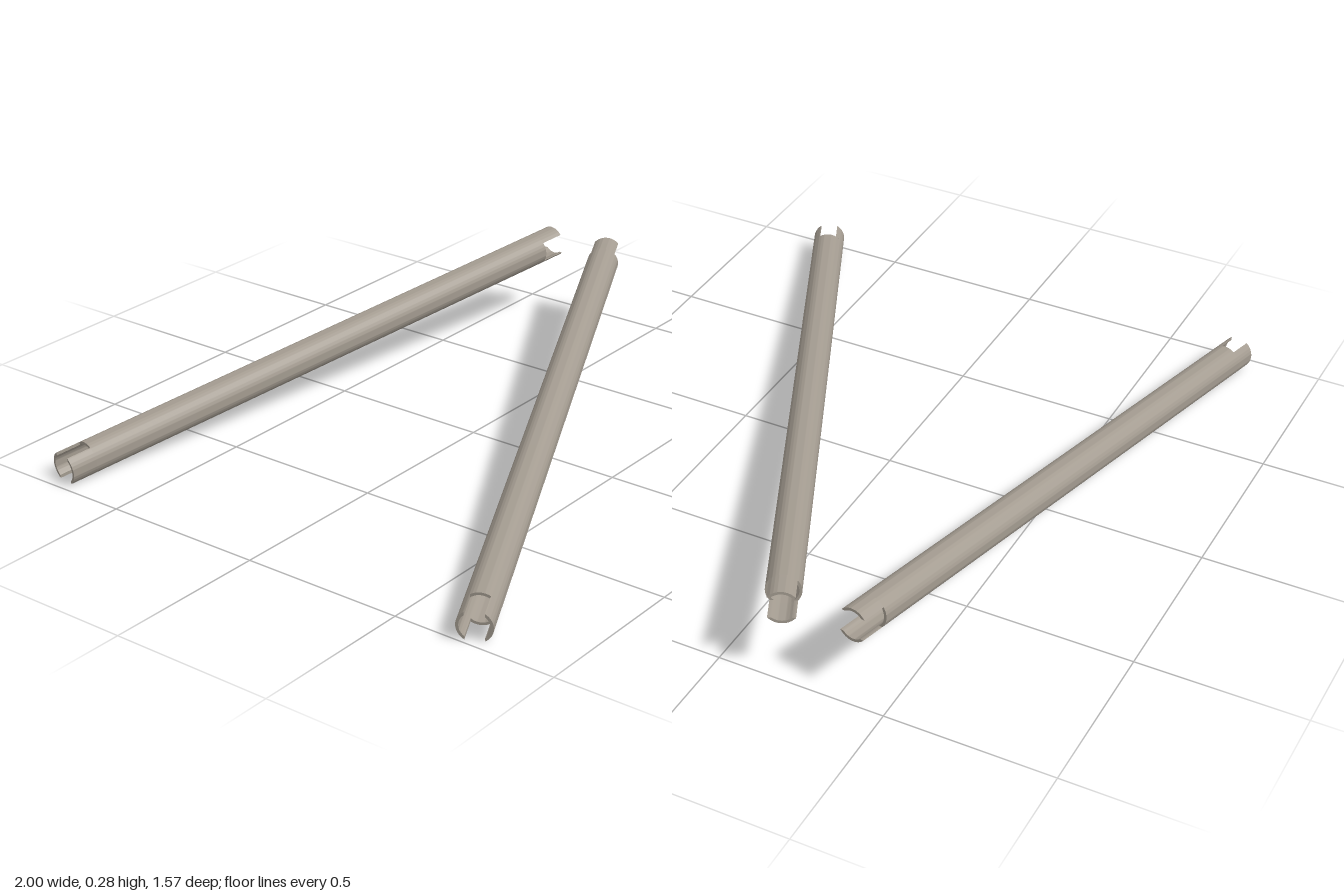
import * as THREE from 'three';
import { toCreasedNormals } from 'three/addons/utils/BufferGeometryUtils.js';

const R = 0.05, BORE = 0.042; // outer and inner radius
const SLOT_DEPTH = 0.08;
const material = new THREE.MeshStandardMaterial({ color: 0xa39b90 });

function extrude(shape, depth, z, curveSegments) {
  const geo = new THREE.ExtrudeGeometry(shape, { depth, steps: 1, curveSegments, bevelEnabled: false });
  geo.translate(0, 0, z);
  return toCreasedNormals(geo, 0.6);
}

function addMesh(parent, name, geo) {
  const mesh = new THREE.Mesh(geo, material);
  mesh.name = name;
  parent.add(mesh);
  return mesh;
}

// Curved tongue left beside a straight slot of the given half width
function tongueShape(halfSlot) {
  const a = Math.asin(halfSlot / R), b = Math.asin(halfSlot / BORE);
  const shape = new THREE.Shape();
  shape.absarc(0, 0, R, a, Math.PI - a, false);
  shape.absarc(0, 0, BORE, Math.PI - b, b, true);
  shape.closePath();
  return shape;
}

// Hollow pipe from low to high, with a crosswise slot cut in each end
function slottedPipe(name, low, high) {
  const pipe = new THREE.Group();
  pipe.name = name;
  const axis = high.clone().sub(low);
  const length = axis.length();
  axis.normalize();
  const side = new THREE.Vector3(0, 1, 0).cross(axis).normalize();
  const up = axis.clone().cross(side);
  pipe.quaternion.setFromRotationMatrix(new THREE.Matrix4().makeBasis(side, up, axis));
  pipe.position.copy(low);

  // Main barrel
  const ring = new THREE.Shape().absarc(0, 0, R, 0, Math.PI * 2, false);
  ring.holes.push(new THREE.Path().absarc(0, 0, BORE, 0, Math.PI * 2, true));
  addMesh(pipe, 'barrel', extrude(ring, length - 2 * SLOT_DEPTH, SLOT_DEPTH, 48));

  // Side tongues at the low end, top and bottom tongues at the high end
  const lowTongue = extrude(tongueShape(0.027), SLOT_DEPTH, 0, 20);
  const highTongue = extrude(tongueShape(0.032), SLOT_DEPTH, length - SLOT_DEPTH, 20);
  for (const turn of [0, Math.PI]) {
    addMesh(pipe, 'lowEndTongue', lowTongue).rotation.z = turn + Math.PI / 2;
    addMesh(pipe, 'highEndTongue', highTongue).rotation.z = turn;
  }
  return pipe;
}

export function createModel() {
  const model = new THREE.Group();
  model.name = 'slottedPipes';
  model.add(
    slottedPipe('frontPipe', new THREE.Vector3(-0.979, 0.046, 0.74), new THREE.Vector3(0.979, 0.237, -0.188)),
    slottedPipe('backPipe', new THREE.Vector3(-0.966, 0.046, -0.738), new THREE.Vector3(0.954, 0.237, -0.386))
  );
  return model;
}
